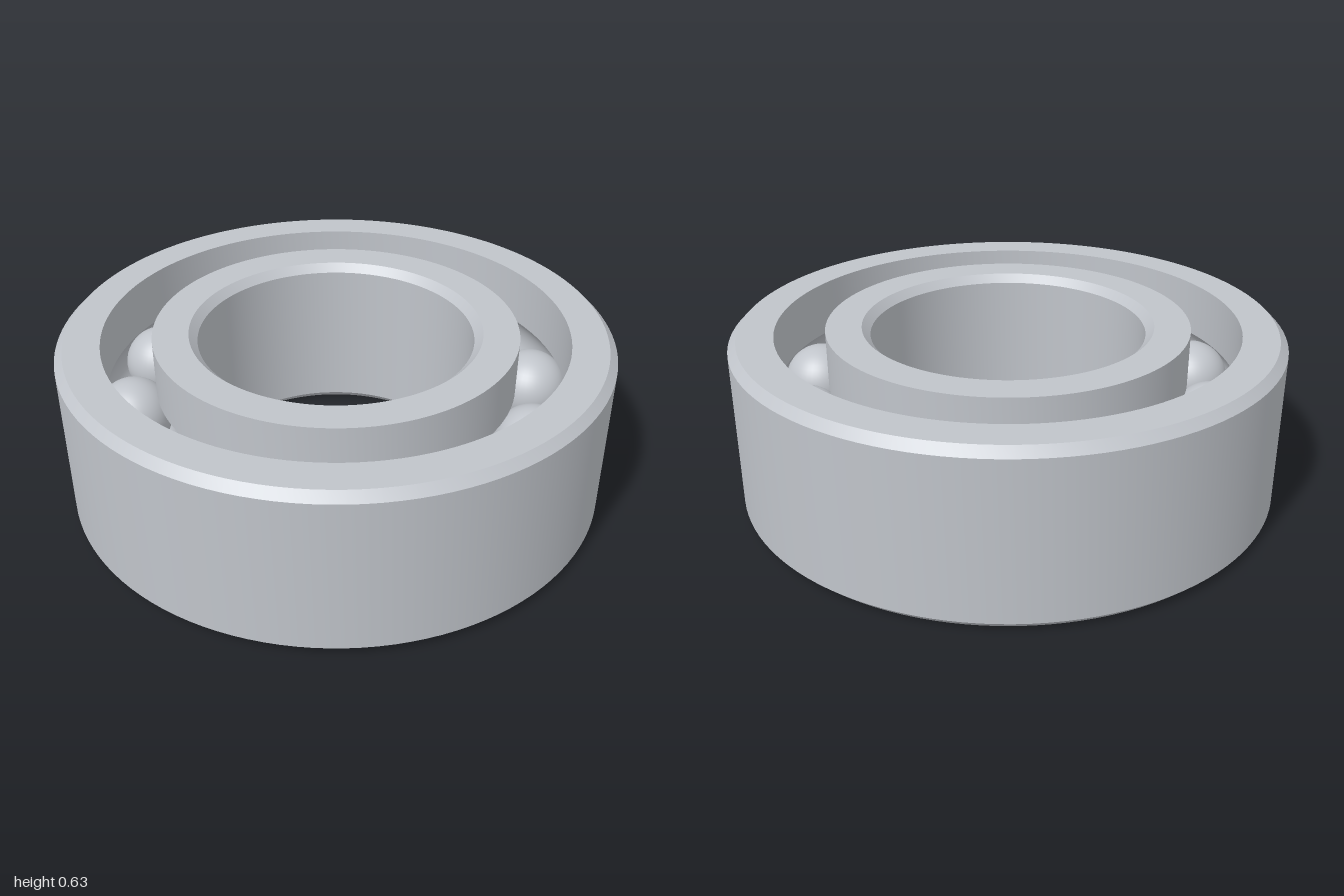
import * as THREE from 'three';
import { toCreasedNormals } from 'three/addons/utils/BufferGeometryUtils.js';

const HEIGHT = 0.63, MID = HEIGHT / 2, CHAMFER = 0.03;
const BORE = 0.5, INNER_LAND = 0.66, OUTER_LAND = 0.84, RIM = 1;
const PITCH = 0.75, BALL = 0.139, GROOVE = 0.141, BALLS = 12;

// Arc of the ball groove where it cuts a race land; side is +1 (outer) or -1 (inner).
function grooveArc(land, side, steps = 14) {
  const half = Math.acos(Math.abs(land - PITCH) / GROOVE);
  return Array.from({ length: steps + 1 }, (_, i) => {
    const a = half - (2 * half * i) / steps;
    return [PITCH + side * GROOVE * Math.cos(a), MID + side * GROOVE * Math.sin(a)];
  });
}

// Revolves a closed counter-clockwise (radius, height) profile.
function ring(name, profile, material) {
  const points = [...profile, profile[0]].map(([r, y]) => new THREE.Vector2(r, y));
  const mesh = new THREE.Mesh(toCreasedNormals(new THREE.LatheGeometry(points, 120), 0.5), material);
  mesh.name = name;
  return mesh;
}

export function createModel() {
  const model = new THREE.Group();
  model.name = 'ballBearing';
  const steel = new THREE.MeshStandardMaterial({ color: 0xc0c4ca });
  steel.name = 'steel';

  // Outer ring: chamfered rim, groove on the inside
  model.add(ring('outerRing', [
    [OUTER_LAND, 0], [RIM - CHAMFER, 0], [RIM, CHAMFER],
    [RIM, HEIGHT - CHAMFER], [RIM - CHAMFER, HEIGHT], [OUTER_LAND, HEIGHT],
    ...grooveArc(OUTER_LAND, 1),
  ], steel));

  // Inner ring: chamfered bore, groove on the outside
  model.add(ring('innerRing', [
    [BORE, CHAMFER], [BORE + CHAMFER, 0], [INNER_LAND, 0],
    ...grooveArc(INNER_LAND, -1),
    [INNER_LAND, HEIGHT], [BORE + CHAMFER, HEIGHT], [BORE, HEIGHT - CHAMFER],
  ], steel));

  // Balls evenly spaced in the groove
  const balls = new THREE.Group();
  balls.name = 'balls';
  const ballGeometry = new THREE.SphereGeometry(BALL, 40, 24);
  for (let i = 0; i < BALLS; i++) {
    const a = (i / BALLS) * Math.PI * 2;
    const ball = new THREE.Mesh(ballGeometry, steel);
    ball.name = 'ball';
    ball.position.set(PITCH * Math.cos(a), MID, PITCH * Math.sin(a));
    balls.add(ball);
  }
  model.add(balls);
  return model;
}
